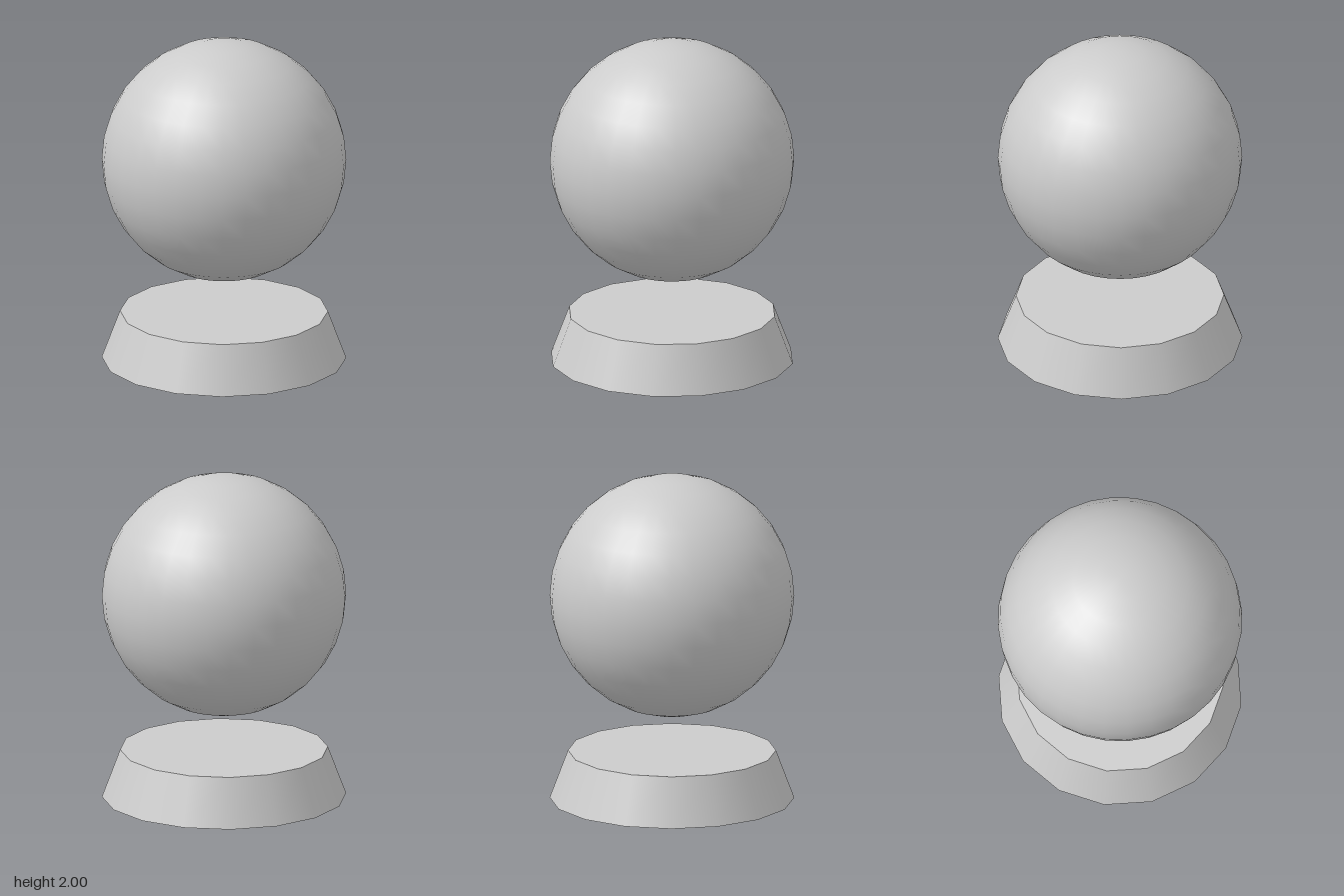
import * as THREE from 'three';

const R = 0.7375;          // ball radius, also the foot radius of the stand
const STAND_HEIGHT = 0.295;
const STAND_TOP = 0.627;
const SIDES = 16;

export function createModel() {
  const model = new THREE.Group();
  const grey = new THREE.MeshStandardMaterial({ color: 0xcccccc });
  const greyThin = new THREE.MeshStandardMaterial({ color: 0xcccccc, side: THREE.DoubleSide });

  const add = (parent, name, geometry, material, y) => {
    const mesh = new THREE.Mesh(geometry, material);
    mesh.name = name;
    mesh.position.y = y;
    parent.add(mesh);
  };

  // Ball floating above the stand
  add(model, 'ball', new THREE.SphereGeometry(R, 32, 16), grey, 2 - R);

  // Hollow tapered stand: thin wall and flat top, open underneath
  const stand = new THREE.Group();
  stand.name = 'stand';
  model.add(stand);
  add(stand, 'standWall',
    new THREE.CylinderGeometry(STAND_TOP, R, STAND_HEIGHT, SIDES, 1, true),
    greyThin, STAND_HEIGHT / 2);
  add(stand, 'standTop',
    new THREE.CircleGeometry(STAND_TOP, SIDES).rotateX(-Math.PI / 2),
    greyThin, STAND_HEIGHT);

  return model;
}
